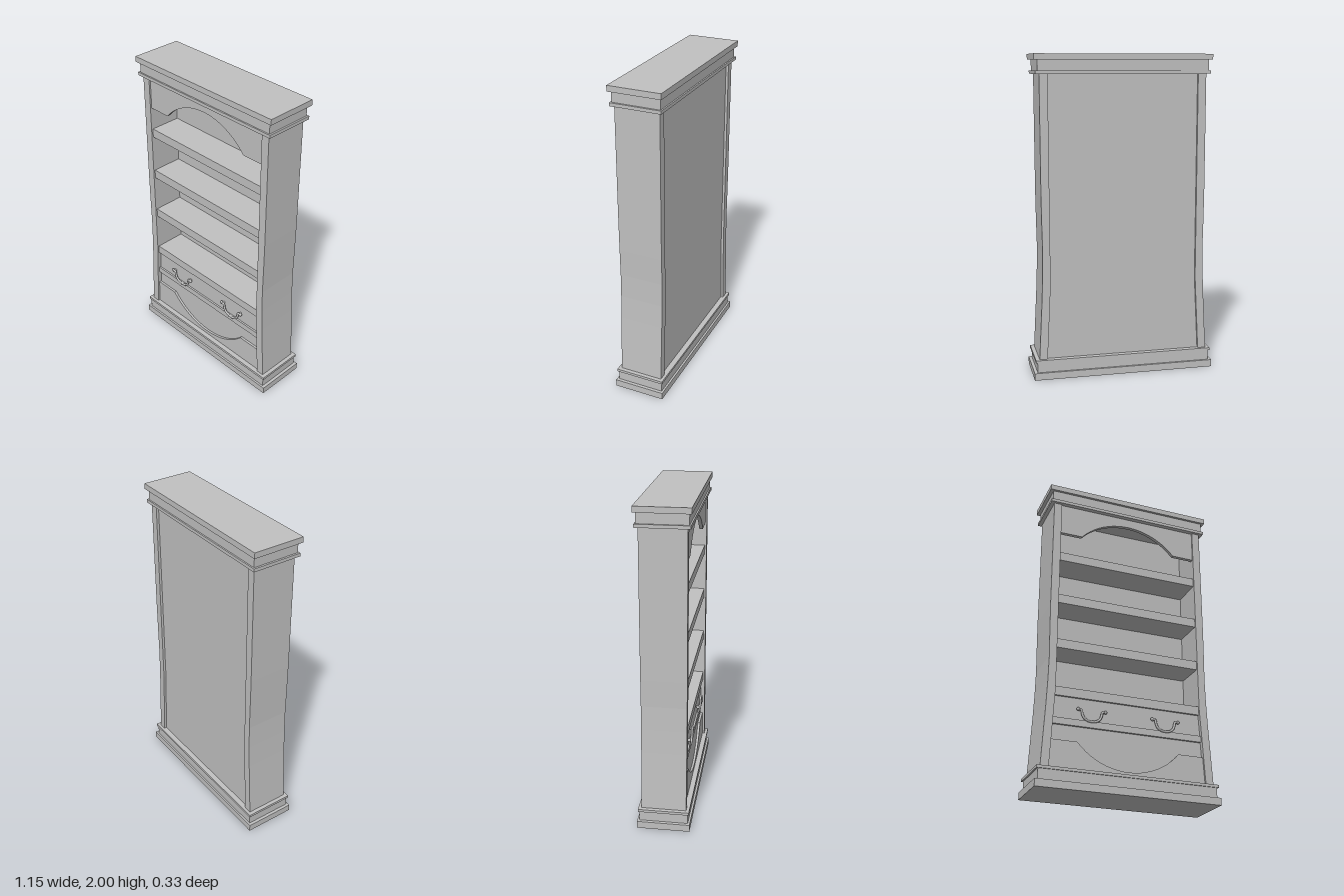
import * as THREE from 'three';

export function createModel() {
  const model = new THREE.Group();
  model.name = 'bookcase';
  const grey = new THREE.MeshStandardMaterial({ color: 0xc0c0c0 });
  grey.name = 'plain grey';

  const add = (name, geometry, x = 0, y = 0, z = 0, parent = model) => {
    const mesh = new THREE.Mesh(geometry, grey);
    mesh.name = name;
    mesh.position.set(x, y, z);
    parent.add(mesh);
    return mesh;
  };
  // Box centred on x and z, spanning y0 to y1
  const tier = (name, halfX, halfZ, y0, y1) =>
    add(name, new THREE.BoxGeometry(halfX * 2, y1 - y0, halfZ * 2), 0, (y0 + y1) / 2, 0);
  // Upright outline extruded from z0 to z1
  const slab = (name, points, z0, z1) => {
    const shape = new THREE.Shape(points.map(([x, y]) => new THREE.Vector2(x, y)));
    return add(name, new THREE.ExtrudeGeometry(shape, { depth: z1 - z0, bevelEnabled: false }), 0, 0, z0);
  };
  // Half width of the inside, which flares toward the base
  const inner = (y) => 0.465 + 0.025 * Math.max(0, (0.6 - y) / 0.475);
  const board = (name, y0, y1, z0, z1) => slab(name, [
    [-inner(y0), y0], [inner(y0), y0], [inner(y1), y1], [-inner(y1), y1],
  ], z0, z1);

  // Plinth and cornice, each stepped
  tier('plinthFoot', 0.575, 0.163, 0, 0.045);
  tier('plinthBody', 0.555, 0.15, 0.045, 0.108);
  tier('plinthLip', 0.565, 0.157, 0.108, 0.125);
  tier('corniceLip', 0.54, 0.157, 1.88, 1.9);
  tier('corniceBody', 0.528, 0.148, 1.9, 1.965);
  tier('corniceTop', 0.55, 0.163, 1.965, 2);

  // Flared side panels
  const profile = [
    [0.49, 0.125], [0.54, 0.125], [0.52, 0.5], [0.514, 0.65], [0.511, 0.8],
    [0.514, 0.97], [0.516, 1.15], [0.516, 1.88], [0.465, 1.88], [0.465, 0.6],
  ];
  slab('leftSide', profile, -0.138, 0.138);
  slab('rightSide', profile.map(([x, y]) => [-x, y]).reverse(), -0.138, 0.138);

  // Recessed back panel
  slab('backPanel', [
    [-0.49, 0.125], [0.49, 0.125], [0.465, 0.6], [0.465, 1.88], [-0.465, 1.88], [-0.465, 0.6],
  ], -0.122, -0.075);

  // Shelves
  for (const [y0, y1] of [[1.473, 1.53], [1.172, 1.23], [0.87, 0.928], [0.565, 0.62]]) {
    board('shelf', y0, y1, -0.075, 0.127);
  }

  // Aprons: arch at the top, mirrored dip at the bottom
  const arc = (edgeY, sign) => {
    const sag = 0.147, half = 0.32;
    const r = (half * half + sag * sag) / (2 * sag);
    const a = Math.asin(half / r);
    const points = [];
    for (let i = 0; i <= 20; i++) {
      const t = -a + (2 * a * i) / 20;
      points.push([r * Math.sin(t), edgeY + sign * (sag - r + r * Math.cos(t))]);
    }
    return points;
  };
  slab('topApron', [
    [0.465, 1.88], [-0.465, 1.88], [-0.465, 1.675], ...arc(1.675, 1), [0.465, 1.675],
  ], 0.105, 0.128);
  slab('bottomApron', [
    [0.49, 0.125], [-0.49, 0.125], [-inner(0.295), 0.295], ...arc(0.295, -1), [inner(0.295), 0.295],
  ], 0.11, 0.125);

  // Lower front: backing, rail and drawer
  board('lowerBacking', 0.125, 0.39, 0.09, 0.11);
  board('drawerRail', 0.39, 0.43, -0.075, 0.125);
  board('drawerFront', 0.43, 0.565, 0.09, 0.113);

  // Drooping drawer pulls
  const bail = new THREE.CatmullRomCurve3([
    [-0.085, 0.07], [-0.066, 0.068], [-0.06, 0.045], [-0.05, 0.022], [-0.027, 0.006], [0, 0.002],
    [0.027, 0.006], [0.05, 0.022], [0.06, 0.045], [0.066, 0.068], [0.085, 0.07],
  ].map(([x, y]) => new THREE.Vector3(x, y, 0)));
  const bailGeometry = new THREE.TubeGeometry(bail, 40, 0.0075, 8);
  const knobGeometry = new THREE.SphereGeometry(0.0105, 12, 8);
  const postGeometry = new THREE.CylinderGeometry(0.007, 0.007, 0.02, 10).rotateX(Math.PI / 2);
  for (const x of [-0.235, 0.235]) {
    const handle = new THREE.Group();
    handle.name = 'drawerHandle';
    handle.position.set(x, 0.425, 0.128);
    add('bail', bailGeometry, 0, 0, 0, handle);
    for (const s of [-1, 1]) {
      add('knob', knobGeometry, s * 0.085, 0.07, 0, handle);
      add('post', postGeometry, s * 0.075, 0.07, -0.009, handle);
    }
    model.add(handle);
  }
  return model;
}
